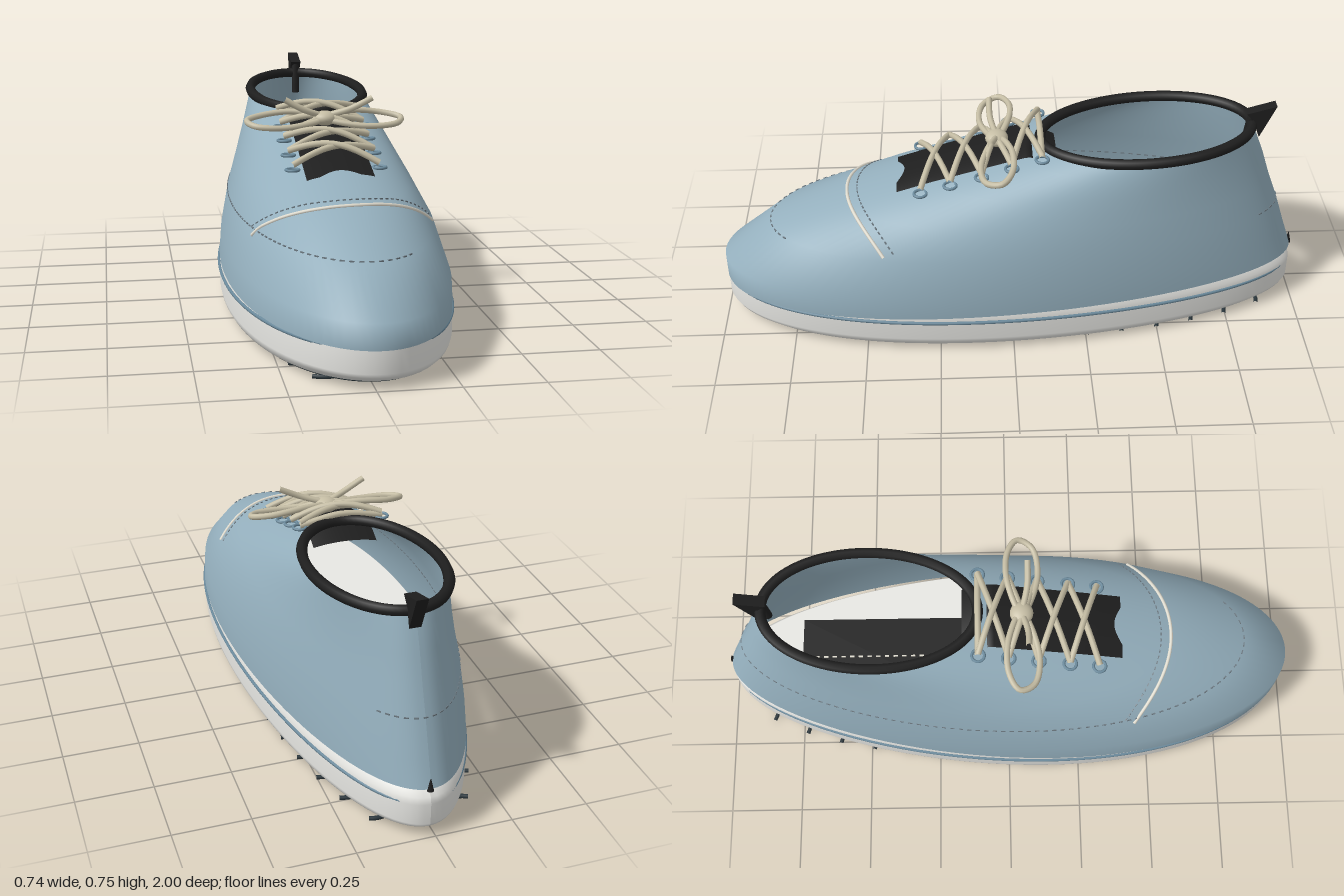
import * as THREE from 'three';
import { ParametricGeometry } from 'three/addons/geometries/ParametricGeometry.js';

const V = (x, y, z) => new THREE.Vector3(x, y, z);
const mat = (name, color, side = THREE.FrontSide) => {
  const m = new THREE.MeshStandardMaterial({ color, side });
  m.name = name;
  return m;
};

// The upper is a stack of tilted rings joined by straight walls:
// front points hold (half width, y, z), back points (0, y, z)
const straight = pts => new THREE.CatmullRomCurve3(pts, false, 'catmullrom', 0);
const frontLine = straight([
  V(0.357, 0.12, 1), V(0.353, 0.2, 1), V(0.324, 0.333, 0.83), V(0.286, 0.435, 0.57),
  V(0.25, 0.522, 0.3), V(0.219, 0.602, 0.02), V(0.205, 0.633, -0.1)]);
const backLine = straight([
  V(0, 0.175, -0.995), V(0, 0.26, -0.965), V(0, 0.38, -0.925), V(0, 0.47, -0.89),
  V(0, 0.56, -0.86), V(0, 0.635, -0.83), V(0, 0.678, -0.81)]);

// Sideways shift that turns an ellipse into a foot outline: broader toe, narrower heel
const footShift = (sin, cos) => 0.018 * cos * cos + 0.055 * sin * cos;

function ring(t) {
  const f = frontLine.getPoint(t), b = backLine.getPoint(t);
  return { f, b, cx: 0.012 * t, cz: (f.z + b.z) / 2, hl: (f.z - b.z) / 2 };
}

// Angle 0 is the toe, growing towards +x
function onUpper(t, angle) {
  const r = ring(t), sin = Math.sin(angle), cos = Math.cos(angle);
  return V(r.cx + r.f.x * sin + footShift(sin, cos) * (1 - t),
    r.b.y + (r.f.y - r.b.y) * (1 + cos) / 2, r.cz + r.hl * cos);
}

// Height of the upper above a ground point
function topY(x, z) {
  let lo = 0.1, hi = 1, y = 0;
  for (let i = 0; i < 30; i++) {
    const t = (lo + hi) / 2, r = ring(t), side = x < r.cx ? -1 : 1;
    const edge = onUpper(t, side * Math.acos(THREE.MathUtils.clamp((z - r.cz) / r.hl, -1, 1)));
    if (Math.abs(z - r.cz) < r.hl && side * (edge.x - x) > 0) lo = t; else hi = t;
    y = edge.y;
  }
  return y;
}

export function createModel() {
  const shoe = new THREE.Group();
  const blue = mat('blue fabric', 0x94afbd, THREE.DoubleSide);
  const trim = mat('blue trim', 0x6b8a9c);
  const white = mat('white rubber', 0xeaeae6);
  const black = mat('black fabric', 0x1e1e1e, THREE.DoubleSide);
  const rubber = mat('dark rubber', 0x2a363c);
  const cream = mat('cream lace', 0xc6bea5);
  const pale = mat('pale piping', 0xe0dccf);
  const thread = mat('grey thread', 0x6c7880);

  const add = (name, geo, material, parent = shoe) => {
    const m = new THREE.Mesh(geo, material);
    m.name = name;
    parent.add(m);
    return m;
  };
  const group = name => {
    const g = new THREE.Group();
    g.name = name;
    shoe.add(g);
    return g;
  };
  const tube = (name, pts, r, material, parent, closed = false, n = 40) =>
    add(name, new THREE.TubeGeometry(new THREE.CatmullRomCurve3(pts, closed), n, r, 8, closed), material, parent);
  const stitches = (name, pts, count, material, size = 0.005) => {
    const g = group(name), curve = new THREE.CatmullRomCurve3(pts);
    const geo = new THREE.BoxGeometry(size, size, curve.getLength() / count * 0.5);
    for (let i = 0; i < count; i++) {
      const u = (i + 0.5) / count, p = curve.getPointAt(u), s = add('stitch', geo, material, g);
      s.position.copy(p);
      s.lookAt(p.clone().add(curve.getTangentAt(u)));
    }
  };
  const samples = (n, fn) => Array.from({ length: n + 1 }, (_, i) => fn(i / n));

  // Sole: lathe with bevelled edges, reshaped to the foot outline
  const soleSlab = (profile, halfWidth) => {
    const geo = new THREE.LatheGeometry(profile.map(p => new THREE.Vector2(...p)), 96, Math.PI);
    const pos = geo.attributes.position;
    for (let i = 0; i < pos.count; i++) {
      const x = pos.getX(i), z = pos.getZ(i), r = Math.hypot(x, z) || 1;
      pos.setX(i, x * halfWidth + footShift(x / r, z / r) * r);
    }
    geo.computeVertexNormals();
    return geo;
  };
  const midsole = [[0, 0.014], [0.93, 0.014], [0.935, 0.014], [0.965, 0.02], [0.99, 0.036], [0.998, 0.05],
    [0.998, 0.12], [0.993, 0.143], [0.97, 0.165], [0.965, 0.166], [0, 0.166]];
  add('midsole', soleSlab(midsole, 0.357), white);
  add('outsole', soleSlab([[0, 0.005], [0.92, 0.005], [0.93, 0.005], [0.94, 0.015], [0, 0.015]], 0.352), rubber);
  const treads = group('treads');
  for (let i = 0; i < 15; i++) {
    const z = -0.86 + i * 0.123, w = 0.322 * Math.sqrt(1 - z * z);
    tube('tread', samples(16, u => V((2 * u - 1) * w, 0.007, z + 0.012 * Math.sin(u * 12))), 0.007, rubber, treads);
  }
  tube('welt', samples(48, u => {
    const sin = Math.sin(u * 2 * Math.PI), cos = Math.cos(u * 2 * Math.PI);
    return V(0.358 * sin + footShift(sin, cos), 0.122, 0.989 * cos);
  }).slice(0, -1), 0.006, trim, shoe, true, 120);

  // Upper shell, one row of faces per wall
  const shell = new ParametricGeometry((u, v, out) => out.copy(onUpper(v, (u * 2 - 1) * Math.PI)), 96, 6);
  shell.computeVertexNormals();
  add('upper', shell, blue);

  // Collar, heel pull and the tip of the heel strip
  tube('collar', samples(40, u => onUpper(1, u * 2 * Math.PI)).slice(0, -1), 0.018, black, shoe, true, 96);
  const pull = new THREE.Shape([[-0.885, 0.75], [-0.835, 0.632], [-0.818, 0.69], [-0.787, 0.722]]
    .map(p => new THREE.Vector2(...p)));
  add('heelPull', new THREE.ExtrudeGeometry(pull, { depth: 0.038, bevelEnabled: false })
    .rotateY(-Math.PI / 2).translate(0.04, 0, 0), black);
  tube('heelPullAnchor', [V(0.021, 0.6, -0.795), V(0.021, 0.66, -0.8), V(0.021, 0.72, -0.81)], 0.014, black);
  add('heelStripTip', new THREE.ConeGeometry(0.011, 0.045, 8), black).position.set(0.02, 0.19, -0.992);

  // Insole with a centre seam
  const insole = add('insole', new THREE.BoxGeometry(0.305, 0.008, 0.575), black);
  insole.position.set(0.012, 0.172, -0.4525);
  stitches('insoleSeam', [V(0.02, 0.178, -0.735), V(0.02, 0.178, -0.17)], 18, pale);

  // Tongue: follows the instep, then dips inside the collar
  add('tongue', new ParametricGeometry((u, v, out) => {
    const x = (2 * u - 1) * 0.11;
    const front = 0.385 - 0.025 * Math.max(0, Math.cos(x * 24));
    const z = front + (-0.155 - front) * v;
    const y = z > -0.06 ? topY(x, z) + 0.008 : topY(x, -0.06) + 0.008 + (z + 0.06) * 0.5;
    out.set(x + 0.002, y, z);
  }, 20, 30), black);

  // Eyelets and crossed laces
  const eyelets = group('eyelets'), laces = group('laces');
  const rows = [[0.505, 0.305], [0.535, 0.205], [0.565, 0.1], [0.597, 0], [0.63, -0.1]];
  const ringGeo = new THREE.TorusGeometry(0.021, 0.005, 8, 20).rotateX(Math.PI / 2);
  rows.forEach(([y, z], i) => {
    for (const s of [-1, 1]) {
      add('eyelet', ringGeo, trim, eyelets).position.set(s * 0.143, y, z);
      if (i === rows.length - 1) continue;
      const [y2, z2] = rows[i + 1];
      const lift = s > 0 ? 0.042 : 0.034;
      tube('lace', samples(8, u => V(s * 0.143 * (1 - 2 * u), y + 0.015 + (y2 - y) * u + lift * Math.sin(Math.PI * u),
        z + (z2 - z) * u)), 0.0105, cream, laces);
    }
  });
  tube('topLace', [V(-0.143, 0.635, -0.1), V(0, 0.658, -0.1), V(0.143, 0.635, -0.1)], 0.0105, cream, laces);

  // Bow
  const bow = group('bow');
  bow.position.set(0.004, 0, 0.045);
  add('knot', new THREE.SphereGeometry(0.041, 24, 16), cream, bow).scale.set(1, 0.62, 0.95);
  bow.children[0].position.y = 0.629;
  for (const s of [-1, 1]) {
    tube('bowLoop', [V(0, 0.63, 0), V(s * 0.1, 0.647, -0.045), V(s * 0.21, 0.637, -0.045), V(s * 0.265, 0.625, -0.01),
      V(s * 0.24, 0.612, 0.04), V(s * 0.13, 0.608, 0.055)], 0.0105, cream, bow, true, 60);
    tube('bowEnd', [V(0, 0.635, 0), V(s * 0.08 + 0.005, 0.662, 0.02), V(s * 0.15 + 0.01, 0.698, 0.022)],
      0.0105, cream, bow);
  }

  // Toe cap piping with a row of stitches behind it
  const arc = (dz, lift) => samples(24, u => {
    const x = (2 * u - 1) * 0.29, z = 0.56 - 0.13 * (x / 0.29) ** 2 + dz;
    return V(x, topY(x, z) + lift, z);
  });
  tube('toePiping', arc(0, 0.001), 0.006, pale);
  stitches('toeStitching', arc(-0.035, 0.001), 34, thread, 0.004);

  // Side seam from the toe, round the right flank to behind the heel
  stitches('sideStitching', samples(60, u => onUpper(0.337, 0.4 - u * (Math.PI + 0.85))), 80, thread, 0.004);

  return shoe;
}
